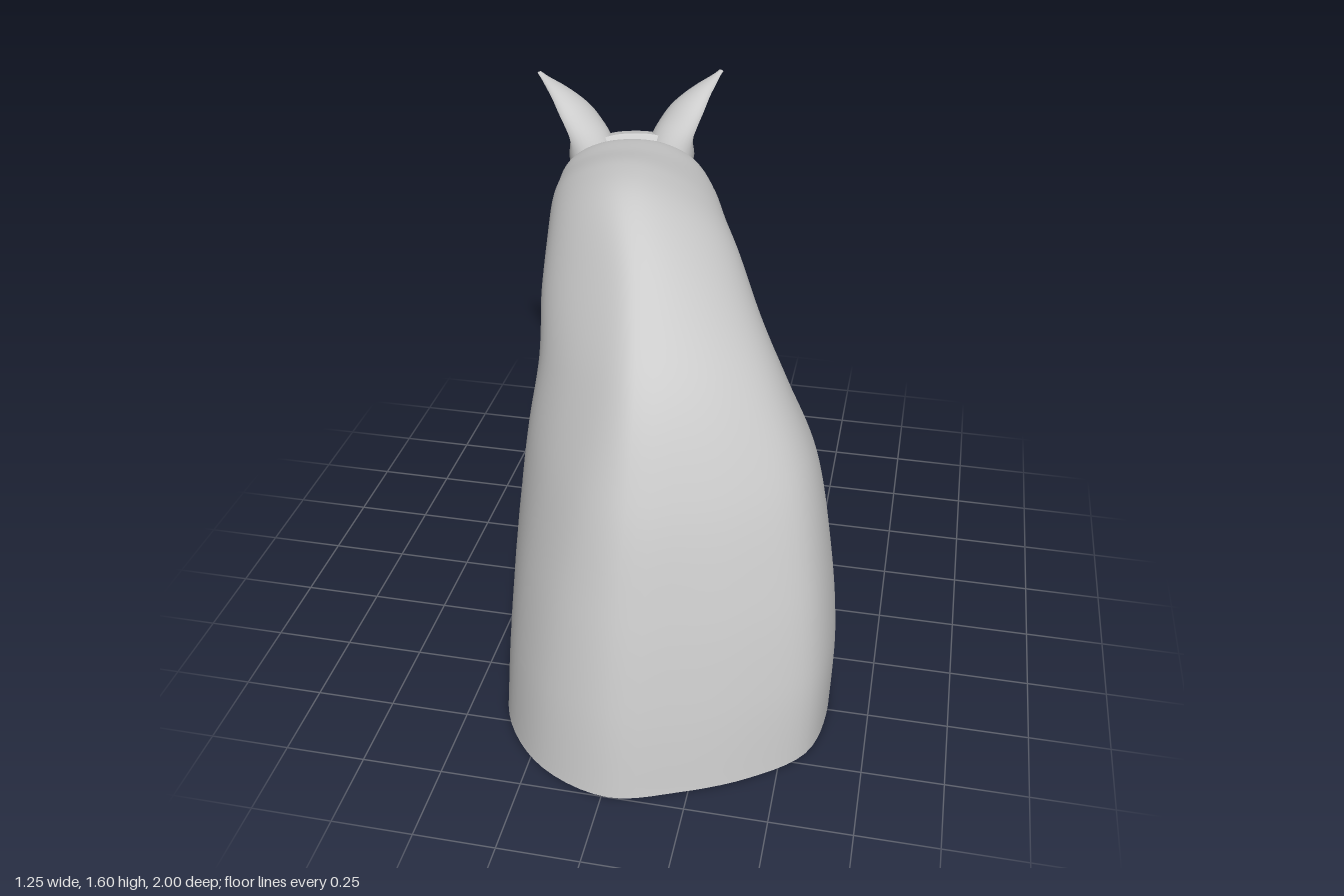
import * as THREE from 'three';

const V = (x, y, z) => new THREE.Vector3(x, y, z);
const grey = () => new THREE.MeshStandardMaterial({ color: 0xcccccc });
// rounded-square version of sin / cos
const sq = (c, n) => Math.sign(c) * Math.abs(c) ** (2 / n);

// Catmull-Rom interpolation of rows of numbers
function smooth(rows, steps) {
  const out = [], last = rows.length - 1;
  const at = i => rows[Math.max(0, Math.min(last, i))];
  for (let i = 0; i < last; i++) {
    for (let s = 0; s < steps; s++) {
      const t = s / steps;
      out.push(rows[i].map((b, k) => {
        const a = at(i - 1)[k], c = at(i + 1)[k], d = at(i + 2)[k];
        return b + 0.5 * t * (c - a + t * (2 * a - 5 * b + 4 * c - d + t * (3 * (b - c) + d - a)));
      }));
    }
  }
  out.push(rows[last]);
  return out;
}

// skin over closed rings of points, with optional end caps
function loft(rings, capStart, capEnd) {
  const n = rings[0].length, pts = rings.flat(), index = [];
  for (let i = 0; i < rings.length - 1; i++) {
    for (let j = 0; j < n; j++) {
      const a = i * n + j, b = i * n + (j + 1) % n;
      index.push(a, b, b + n, a, b + n, a + n);
    }
  }
  const cap = (i, flip) => {
    const mid = V(0, 0, 0);
    rings[i].forEach(p => mid.addScaledVector(p, 1 / n));
    const m = pts.push(mid) - 1;
    for (let j = 0; j < n; j++) {
      const a = i * n + j, b = i * n + (j + 1) % n;
      if (flip) index.push(m, b, a); else index.push(m, a, b);
    }
  };
  if (capStart) cap(0, true);
  if (capEnd) cap(rings.length - 1, false);
  const g = new THREE.BufferGeometry().setFromPoints(pts);
  g.setIndex(index);
  g.computeVertexNormals();
  return g;
}

const ring = (n, f) => Array.from({ length: n }, (_, j) => f(j / n * Math.PI * 2));

function part(name, geometry, parent, material = grey()) {
  const m = new THREE.Mesh(geometry, material);
  m.name = name;
  parent.add(m);
  return m;
}

// neck sections: crest x y z, throat x y z, half width, sideways z skew, crest narrowing left and right
const NECK = [
  [0.04, 0, 1.0, 0.18, 0, -0.08, 0.505, 0.04, 0, 0],
  [0.045, 0.28, 0.96, 0.18, 0.25, -0.1, 0.505, 0.04, 0.03, 0.08],
  [0.05, 0.6, 0.89, 0.15, 0.5, -0.11, 0.485, 0.03, 0.06, 0.2],
  [0.055, 0.92, 0.79, 0.1, 0.75, -0.13, 0.445, 0.01, 0.14, 0.38],
  [0.04, 1.2, 0.63, 0.02, 0.88, -0.165, 0.383, 0, 0.25, 0.55],
  [-0.02, 1.4, 0.37, -0.06, 0.95, -0.21, 0.345, 0, 0.36, 0.55],
  [-0.1, 1.525, 0.1, -0.09, 1.04, -0.27, 0.31, 0, 0.4, 0.42],
  [-0.15, 1.535, -0.15, -0.14, 1.1, -0.33, 0.29, 0, 0.35, 0.25],
  [-0.2, 1.485, -0.4, -0.18, 1.14, -0.43, 0.268, -0.03, 0.2, 0.1],
  [-0.25, 1.44, -0.61, -0.23, 1.14, -0.58, 0.237, -0.05, 0.05, 0],
  [-0.275, 1.36, -0.74, -0.26, 1.14, -0.68, 0.175, -0.04, 0, 0],
];

// outline of the cut at the bottom, x z, from the back round by the left
const CUT = [
  [0.02, 1], [0.22, 0.94], [0.42, 0.84], [0.575, 0.705], [0.62, 0.52], [0.6, 0.32], [0.51, 0.14], [0.36, 0],
  [0.17, -0.08], [-0.02, -0.07], [-0.2, 0], [-0.33, 0.13], [-0.405, 0.35], [-0.41, 0.56], [-0.35, 0.76], [-0.2, 0.925],
];

// head sections, muzzle to poll: face z y, jaw z y, half width
const HEAD = [
  [-0.9, 0.235, -0.75, 0.2, 0.085],
  [-0.95, 0.27, -0.7, 0.2, 0.125],
  [-0.99, 0.33, -0.665, 0.23, 0.155],
  [-1.0, 0.39, -0.63, 0.28, 0.165],
  [-0.97, 0.47, -0.6, 0.35, 0.158],
  [-0.93, 0.56, -0.52, 0.45, 0.165],
  [-0.9, 0.66, -0.42, 0.55, 0.195],
  [-0.885, 0.77, -0.3, 0.645, 0.238],
  [-0.88, 0.88, -0.21, 0.74, 0.272],
  [-0.87, 1.0, -0.185, 0.86, 0.29],
  [-0.845, 1.16, -0.225, 1.0, 0.278],
  [-0.81, 1.29, -0.33, 1.12, 0.25],
  [-0.775, 1.4, -0.5, 1.24, 0.215],
  [-0.64, 1.447, -0.56, 1.34, 0.16],
];

// bumps and hollows on both sides of the head: z, y, radius, amount
const RELIEF = [
  [-0.665, 0.97, 0.075, -0.03], [-0.66, 1.05, 0.05, 0.035],
  [-0.6, 1.17, 0.06, -0.015], [-0.74, 0.82, 0.07, 0.012],
  [-0.62, 0.66, 0.07, -0.018], [-0.42, 0.85, 0.15, 0.01],
  [-0.945, 0.375, 0.032, -0.06], [-0.72, 0.27, 0.05, 0.012],
];
for (let i = 0; i <= 16; i++) { // mouth line
  const t = i / 16;
  RELIEF.push([-0.74 - 0.13 * t, 0.37 - 0.15 * t + 0.02 * Math.sin(t * Math.PI), 0.014, -0.013]);
}

function neckRings() {
  const cut = new THREE.CatmullRomCurve3(CUT.map(([x, z]) => V(x, 0, z)), true);
  const rings = smooth(NECK, 8).map(([tx, ty, tz, ux, uy, uz, w, skew, narrowL, narrowR]) => {
    const top = V(tx, ty, tz), under = V(ux, uy, uz);
    const c = top.clone().add(under).multiplyScalar(0.5);
    const d = top.clone().sub(under).multiplyScalar(0.5);
    return ring(80, a => {
      const k = sq(Math.cos(a), 2.15), s = sq(Math.sin(a), 2.15);
      const narrow = s > 0 ? narrowL : narrowR;
      return c.clone().addScaledVector(d, k)
        .addScaledVector(V(w, 0, skew), s * (1 - narrow * Math.max(0, k) ** 2));
    });
  });
  // the uneven outline of the cut fades out up the neck
  const shift = rings[0].map((p, j) => cut.getPoint(j / 80).sub(p));
  for (let i = 0; i < 44; i++) {
    const fade = 1 - THREE.MathUtils.smoothstep(i, 6, 44);
    rings[i].forEach((p, j) => p.addScaledVector(shift[j], fade));
  }
  return rings;
}

function headGeometry() {
  const rings = smooth(HEAD, 10).map(([fz, fy, bz, by, w]) => ring(80, a => {
    // the jaw half is squarer than the face half
    const n = Math.cos(a) > 0 ? 2.7 : 2.4;
    const c = sq(Math.cos(a), n), s = sq(Math.sin(a), n);
    const y = (fy + by) / 2 + c * (by - fy) / 2, z = (fz + bz) / 2 + c * (bz - fz) / 2;
    let x = w * s * (1 - 0.12 * Math.max(0, -c));
    let push = 0;
    for (const [rz, ry, r, k] of RELIEF) push += k * Math.exp(-((z - rz) ** 2 + (y - ry) ** 2) / (r * r));
    x += Math.sign(x) * push * Math.min(1, Math.abs(x) / 0.08);
    return V(x, y, z);
  }));
  return loft(rings, true, true);
}

// cupped leaf following a curve, open outward and to the face side
function earGeometry(side) {
  const path = new THREE.CatmullRomCurve3([
    V(side * 0.12, 1.32, -0.64), V(side * 0.155, 1.43, -0.675),
    V(side * 0.215, 1.515, -0.74), V(side * 0.32, 1.595, -0.85)]);
  const rows = smooth([[0.09, 0.085], [0.09, 0.075], [0.092, 0.058], [0.085, 0.048], [0.055, 0.03], [0.012, 0.008]], 5);
  const rings = rows.map(([w, depth], i) => {
    const t = i / (rows.length - 1), p = path.getPoint(t), axis = path.getTangent(t);
    const back = V(-side * 0.8, 0, 0.6);
    back.addScaledVector(axis, -back.dot(axis)).normalize();
    const across = axis.clone().cross(back);
    const cup = THREE.MathUtils.lerp(-1, 0.65, THREE.MathUtils.smoothstep(t, 0.2, 0.5));
    return ring(32, a => {
      const c = Math.cos(a);
      return p.clone().addScaledVector(across, w * Math.sin(a))
        .addScaledVector(back, depth * (c > 0 ? c : -c * cup));
    });
  });
  return loft(rings, true, true);
}

export function createModel() {
  const model = new THREE.Group();
  model.name = 'horseBust';

  // neck is a hollow skin, open at the bottom
  const rings = neckRings();
  const shell = grey();
  shell.side = THREE.DoubleSide;
  part('neck', loft(rings, false, true), model, shell);

  // flat base with a central opening
  const centre = V(0.11, 0, 0.44);
  const hole = rings[0].map(p => p.clone().lerp(centre, 0.7));
  part('base', loft([hole, rings[0]]), model);

  // head, turned to one side
  const head = new THREE.Group();
  head.name = 'head';
  head.position.set(-0.105, 0, -0.022);
  head.rotation.y = 0.23;
  model.add(head);
  part('skull', headGeometry(), head);

  for (const side of [1, -1]) {
    const tag = side > 0 ? 'left' : 'right';
    part(tag + 'Ear', earGeometry(side), head).position.x = -0.008;

    // eye with a lid rim and brow
    const eye = new THREE.Group();
    eye.name = tag + 'EyeSocket';
    eye.position.set(side * 0.226, 0.97, -0.655);
    eye.rotation.y = side * (Math.PI / 2 + 0.25);
    head.add(eye);
    part(tag + 'Eye', new THREE.SphereGeometry(0.051, 24, 16), eye);
    const lid = part(tag + 'Eyelid', new THREE.TorusGeometry(0.053, 0.011, 10, 32), eye);
    lid.position.z = 0.014;
    const brow = part(tag + 'Brow', new THREE.TorusGeometry(0.061, 0.015, 10, 24, Math.PI), eye);
    brow.position.z = 0.01;

    // nostril rim
    const nostril = part(tag + 'Nostril', new THREE.TorusGeometry(0.036, 0.013, 10, 28), head);
    nostril.position.set(side * 0.106, 0.378, -0.942);
    nostril.rotation.y = side * (Math.PI / 2 + 0.6);
    nostril.scale.y = 1.25;
  }
  return model;
}
